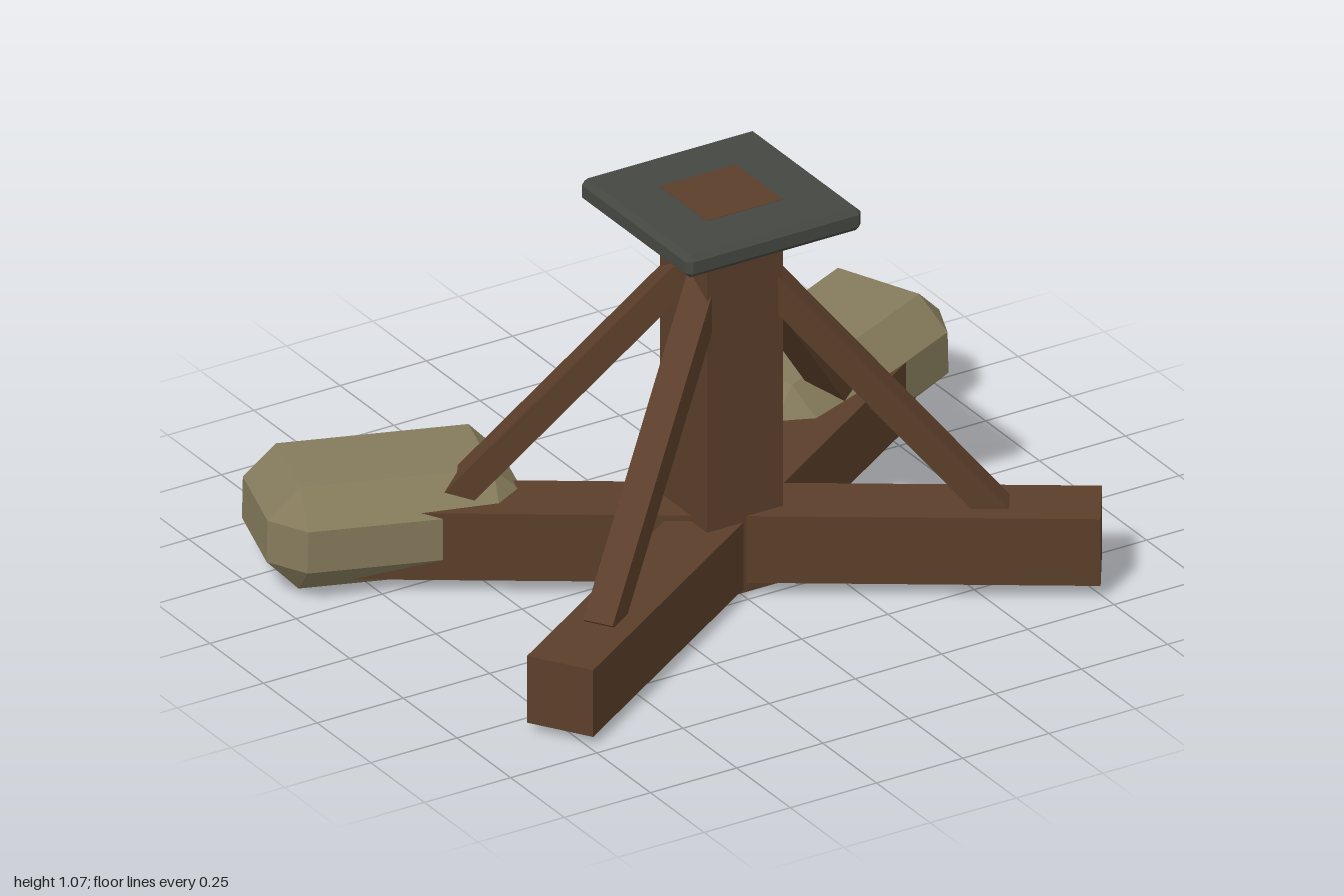
import * as THREE from 'three';
import { ConvexGeometry } from 'three/addons/geometries/ConvexGeometry.js';

const CENTRE_Z = 0.125;

// Box with every edge cut by one flat bevel
function bevelBox(w, h, d, b) {
  const points = [];
  for (const sx of [-1, 1]) for (const sy of [-1, 1]) for (const sz of [-1, 1]) {
    const x = w / 2, y = h / 2, z = d / 2;
    points.push(
      new THREE.Vector3(sx * x, sy * (y - b), sz * (z - b)),
      new THREE.Vector3(sx * (x - b), sy * y, sz * (z - b)),
      new THREE.Vector3(sx * (x - b), sy * (y - b), sz * z));
  }
  return new ConvexGeometry(points);
}

export function createModel() {
  const group = new THREE.Group();
  const material = (name, color) => {
    const m = new THREE.MeshStandardMaterial({ color, flatShading: true });
    m.name = name;
    return m;
  };
  const wood = material('wood', 0x5b3e2a);
  const iron = material('iron', 0x454841);
  const sack = material('sackcloth', 0x857a5b);

  const add = (name, geometry, mat, x, y, z) => {
    const mesh = new THREE.Mesh(geometry, mat);
    mesh.name = name;
    mesh.position.set(x, y, z);
    group.add(mesh);
    return mesh;
  };

  // Upright post, its end just showing through the top plate
  add('post', new THREE.BoxGeometry(0.22, 1.061, 0.22), wood, 0, 0.5505, CENTRE_Z);
  add('topPlate', bevelBox(0.51, 0.063, 0.51, 0.015), iron, 0, 1.0485, CENTRE_Z);

  // Two crossed ground beams at slightly different heights
  const angle = 0.576;
  const beam = new THREE.BoxGeometry(1.872, 0.185, 0.18);
  add('groundBeamA', beam, wood, 0, 0.138, CENTRE_Z).rotation.y = -angle;
  add('groundBeamB', beam, wood, 0, 0.123, CENTRE_Z).rotation.y = angle;

  // Four diagonal braces from the beams to the post
  const inner = new THREE.Vector2(0.06, 0.908), outer = new THREE.Vector2(0.69, 0.2);
  const span = outer.clone().sub(inner);
  for (const a of [angle, -angle, Math.PI - angle, Math.PI + angle]) {
    const holder = new THREE.Group();
    holder.name = 'brace';
    holder.position.set(0, 0, CENTRE_Z);
    holder.rotation.y = a;
    const bar = new THREE.Mesh(new THREE.BoxGeometry(span.length(), 0.07, 0.08), wood);
    bar.name = 'braceBar';
    bar.position.set((inner.x + outer.x) / 2, (inner.y + outer.y) / 2, 0);
    bar.rotation.z = span.angle();
    holder.add(bar);
    group.add(holder);
  }

  // Ballast sacks weighing down the rear beam ends
  add('rightSack', bevelBox(0.655, 0.28, 0.41, 0.083), sack, -0.655, 0.16, -0.397)
    .rotation.set(0, -0.305, -0.02);
  add('leftSack', bevelBox(0.715, 0.28, 0.41, 0.083), sack, 0.62, 0.157, -0.43)
    .rotation.set(0, 0.405, 0.035);

  return group;
}
